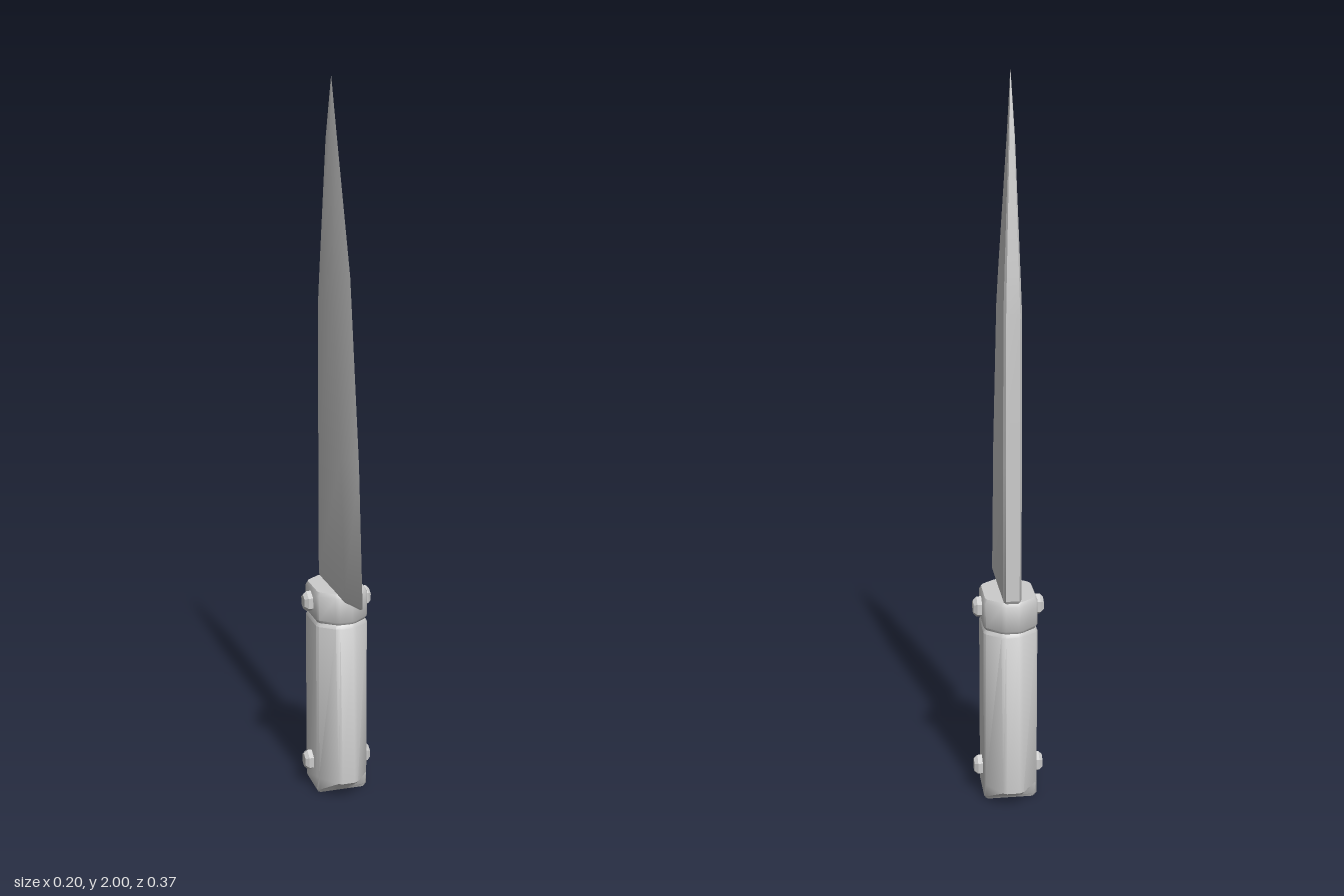
import * as THREE from 'three';
import { toCreasedNormals } from 'three/addons/utils/BufferGeometryUtils.js';

const material = new THREE.MeshStandardMaterial({ color: 0xcccccc });

// Skin a stack of rings (bottom to top, corners counter-clockwise from above) and cap both ends.
function loft(rings, crease) {
  const n = rings[0].length;
  const positions = rings.flat(2);
  const index = [];
  for (let i = 0; i < rings.length - 1; i++) {
    for (let j = 0; j < n; j++) {
      const a = i * n + j, b = i * n + ((j + 1) % n);
      index.push(a, b, b + n, a, b + n, a + n);
    }
  }
  const top = (rings.length - 1) * n;
  for (let j = 1; j < n - 1; j++) {
    index.push(0, j + 1, j, top, top + j, top + j + 1);
  }
  const geometry = new THREE.BufferGeometry();
  geometry.setAttribute('position', new THREE.Float32BufferAttribute(positions, 3));
  geometry.setIndex(index);
  return toCreasedNormals(geometry, crease);
}

// Eight-sided grip section with narrow front and back faces and softened corners.
const GRIP_Z = -0.06;
function gripRing(y, front, back, scale = 1) {
  const w = 0.075, t = 0.025, cut = 0.007;
  const corners = [
    [w, 0], [w, -0.12], [t, back], [-t, back],
    [-w, -0.12], [-w, 0], [-t, front], [t, front],
  ].map(([x, z]) => new THREE.Vector2(x * scale, GRIP_Z + (z - GRIP_Z) * scale));
  return corners.flatMap((p, i) => {
    const neighbours = [corners[(i + 7) % 8], corners[(i + 1) % 8]];
    return neighbours.map((q) => {
      const s = q.clone().sub(p).setLength(cut).add(p);
      return [s.x, y, s.y];
    });
  });
}

// Blade section: spine, bevelled spine corners, flat sides, then a taper to the edge.
function bladeRing([y, spine, shoulder, edge, w]) {
  const c = w * 0.4;
  return [
    [0, y, edge], [w, y, shoulder], [w, y, spine + c], [w * 0.75, y, spine],
    [-w * 0.75, y, spine], [-w, y, spine + c], [-w, y, shoulder],
  ];
}

export function createModel() {
  const model = new THREE.Group();
  const add = (name, geometry) => {
    const mesh = new THREE.Mesh(geometry, material);
    mesh.name = name;
    model.add(mesh);
    return mesh;
  };

  // Handle flares toward the butt, then slopes in to a flat end
  add('handle', loft([
    gripRing(0, 0, -0.12, 0.93),
    gripRing(0.01, 0.002, -0.122),
    gripRing(0.05, 0.064, -0.186),
    gripRing(0.06, 0.064, -0.186),
    gripRing(0.508, 0.042, -0.16),
    gripRing(0.518, 0.042, -0.16, 0.93),
  ], 0.7));

  // Bolster between handle and blade
  add('bolster', loft([
    gripRing(0.517, 0.04, -0.16, 0.93),
    gripRing(0.527, 0.04, -0.16),
    gripRing(0.597, 0.04, -0.16),
    gripRing(0.608, 0.04, -0.16, 0.93),
  ], 0.7));

  // Blade: height, spine z, shoulder z, edge z, half thickness
  add('blade', loft([
    [0.606, -0.155, 0.095, 0.165, 0.022],
    [0.615, -0.16, 0.1, 0.185, 0.025],
    [1.0, -0.16, 0.065, 0.15, 0.025],
    [1.4, -0.16, 0.0, 0.085, 0.024],
    [1.49, -0.154, -0.015, 0.07, 0.021],
    [1.84, -0.13, -0.09, -0.047, 0.008],
    [2.0, -0.101, -0.1, -0.099, 0.0003],
  ].map(bladeRing), 0.5));

  // Hexagonal rivets passing through bolster and handle
  const profile = [[0, -0.098], [0.02, -0.098], [0.03, -0.088], [0.03, 0.088], [0.02, 0.098], [0, 0.098]]
    .map(([r, h]) => new THREE.Vector2(r, h));
  const rivet = toCreasedNormals(new THREE.LatheGeometry(profile, 6), 0.6);
  rivet.rotateX(0).rotateY(Math.PI / 2).rotateZ(Math.PI / 2);
  for (const [name, y] of [['handleRivet', 0.08], ['bolsterRivet', 0.565]]) {
    add(name, rivet).position.set(0, y, GRIP_Z);
  }

  return model;
}
